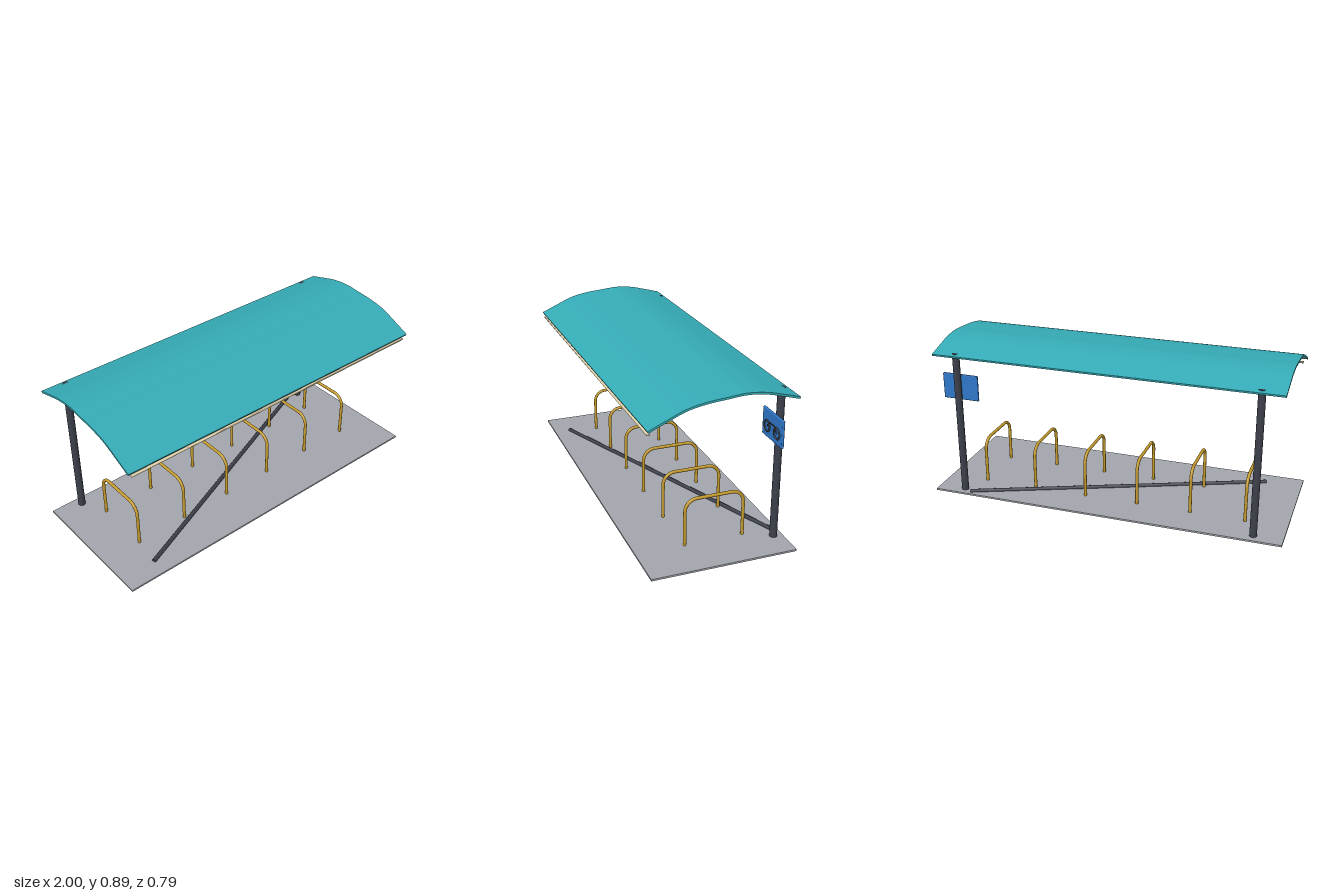
import * as THREE from 'three';
import { RoundedBoxGeometry } from 'three/addons/geometries/RoundedBoxGeometry.js';

const mat = (name, color) => {
  const m = new THREE.MeshStandardMaterial({ color });
  m.name = name;
  return m;
};
const V = (x, y, z) => new THREE.Vector3(x, y, z);

export function createModel() {
  const teal = mat('roof teal', 0x35abb6);
  const lining = mat('roof lining', 0x86b4b4);
  const steel = mat('dark steel', 0x3c404b);
  const ochre = mat('hoop ochre', 0xc49a2c);
  const concrete = mat('slab grey', 0xa2a5ac);
  const blue = mat('sign blue', 0x2f77c9);
  const cream = mat('light strip cream', 0xe0d2ac);

  const model = new THREE.Group();
  model.name = 'bicycleShelter';
  const add = (name, geometry, material, x = 0, y = 0, z = 0, parent = model) => {
    const mesh = new THREE.Mesh(geometry, material);
    mesh.name = name;
    mesh.position.set(x, y, z);
    parent.add(mesh);
    return mesh;
  };

  // Ground slab and the low rail joining the hoops
  add('slab', new THREE.BoxGeometry(2, 0.01, 0.78), concrete, 0, 0.005, -0.002);
  add('floorRail', new THREE.CylinderGeometry(0.012, 0.012, 1.72, 8).rotateX(Math.PI / 8).rotateZ(Math.PI / 2),
    steel, 0, 0.013, -0.036);

  // Curved roof: a thin box bent along a profile, teal above and pale below
  const profile = new THREE.CatmullRomCurve3([
    V(0, 0.765, 0.391), V(0, 0.807, 0.295), V(0, 0.846, 0.2), V(0, 0.866, 0.1), V(0, 0.875, 0),
    V(0, 0.882, -0.1), V(0, 0.871, -0.2), V(0, 0.845, -0.3), V(0, 0.824, -0.376),
  ]);
  const roof = new THREE.BoxGeometry(1.93, 0.011, 1, 1, 1, 40);
  const pos = roof.attributes.position;
  for (let i = 0; i < pos.count; i++) {
    const t = THREE.MathUtils.clamp(0.5 - pos.getZ(i), 0, 1);
    const p = profile.getPointAt(t);
    const d = profile.getTangentAt(t);
    const h = pos.getY(i);
    pos.setXYZ(i, pos.getX(i), p.y - d.z * h, p.z + d.y * h);
  }
  roof.computeVertexNormals();
  add('roof', roof, [teal, teal, teal, lining, teal, teal]);

  // Light strip under the front edge
  add('lightStrip', new RoundedBoxGeometry(1.89, 0.01, 0.018, 2, 0.004), cream, 0, 0.743, 0.381);

  // Posts with arched beams under the roof
  const beamPoints = [];
  for (let i = 0; i <= 10; i++) {
    const t = 0.025 + i * 0.092;
    const p = profile.getPointAt(t);
    const d = profile.getTangentAt(t);
    beamPoints.push(V(0, p.y + d.z * 0.018, p.z - d.y * 0.018));
  }
  const beamPath = new THREE.CatmullRomCurve3(beamPoints);
  for (const side of [-1, 1]) {
    const frame = new THREE.Group();
    frame.name = side < 0 ? 'rightFrame' : 'leftFrame';
    frame.position.x = side * 0.84;
    model.add(frame);
    add('post', new THREE.CylinderGeometry(0.02, 0.02, 0.828, 16), steel, 0, 0.424, -0.341, frame);
    add('roofBeam', new THREE.TubeGeometry(beamPath, 32, 0.013, 10), steel, 0, 0, 0, frame);
    const start = beamPath.getPointAt(0);
    const cap = add('beamCap', new THREE.CircleGeometry(0.013, 10), steel, 0, start.y, start.z, frame);
    const d = beamPath.getTangentAt(0);
    cap.rotation.x = Math.atan2(d.y, -d.z);
  }

  // Row of bicycle hoops
  const front = 0.123, back = -0.198, top = 0.268, r = 0.065, k = r * 0.45;
  const hoop = new THREE.CurvePath();
  hoop.add(new THREE.LineCurve3(V(0, 0.008, front), V(0, top - r, front)));
  hoop.add(new THREE.CubicBezierCurve3(V(0, top - r, front), V(0, top - k, front),
    V(0, top, front - k), V(0, top, front - r)));
  hoop.add(new THREE.LineCurve3(V(0, top, front - r), V(0, top, back + r)));
  hoop.add(new THREE.CubicBezierCurve3(V(0, top, back + r), V(0, top, back + k),
    V(0, top - k, back), V(0, top - r, back)));
  hoop.add(new THREE.LineCurve3(V(0, top - r, back), V(0, 0.008, back)));
  const hoopGeometry = new THREE.TubeGeometry(hoop, 72, 0.009, 10);
  for (let i = 0; i < 6; i++) add('hoop' + (i + 1), hoopGeometry, ochre, -0.768 + i * 0.307);

  // Sign with a simple bicycle emblem
  const sign = new THREE.Group();
  sign.name = 'sign';
  sign.position.set(0.838, 0.63, -0.309);
  model.add(sign);
  add('signBoard', new RoundedBoxGeometry(0.21, 0.148, 0.014, 2, 0.005), blue, 0, 0, 0, sign);
  for (const x of [-0.051, 0.051]) {
    add('emblemWheel', new THREE.TorusGeometry(0.028, 0.005, 8, 24), steel, x, -0.013, 0.008, sign);
  }
  const bars = [[-0.051, -0.013, -0.024, 0.014], [-0.024, 0.014, 0.024, 0.014], [0.024, 0.014, 0.051, -0.013]];
  for (const [x1, y1, x2, y2] of bars) {
    const bar = add('emblemFrame', new THREE.BoxGeometry(Math.hypot(x2 - x1, y2 - y1), 0.006, 0.006), steel,
      (x1 + x2) / 2, (y1 + y2) / 2, 0.008, sign);
    bar.rotation.z = Math.atan2(y2 - y1, x2 - x1);
  }

  return model;
}
